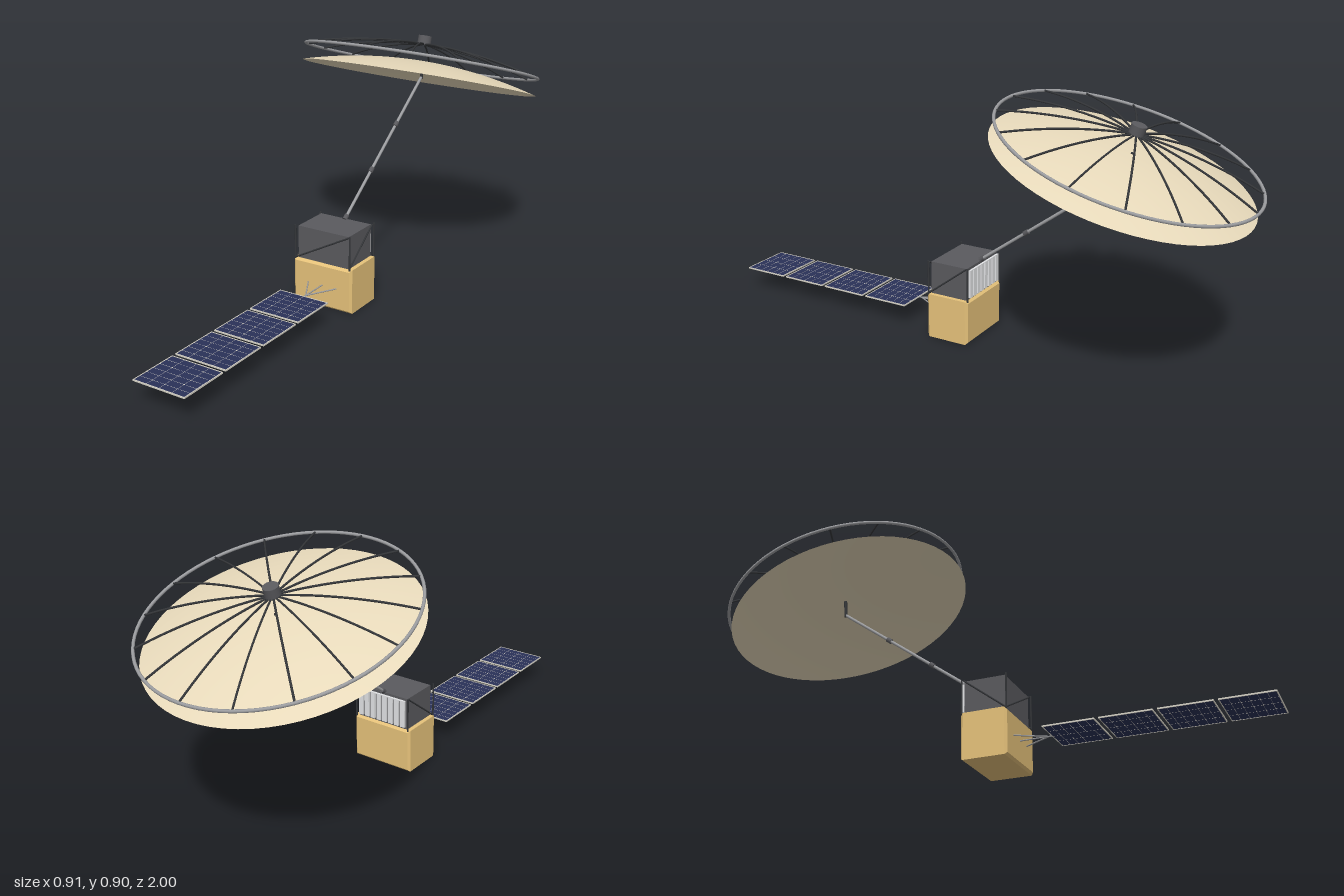
import * as THREE from 'three';

const mat = (name, color, extra = {}) => {
  const m = new THREE.MeshStandardMaterial({ color, ...extra });
  m.name = name;
  return m;
};
const V = (x, y, z) => new THREE.Vector3(x, y, z);

export function createModel() {
  const root = new THREE.Group();
  root.name = 'antennaSatellite';
  const gold = mat('goldFoil', 0xe6c27a);
  const panelDark = mat('darkPanel', 0x5a5a5e);
  const black = mat('blackStrut', 0x35373a);
  const grey = mat('greyMetal', 0x9c9da0);
  const pale = mat('paleRadiator', 0xe2e3e5);
  const navy = mat('solarBlue', 0x2a3158);
  const frameTan = mat('panelFrame', 0xd6d2c6);
  const mesh = mat('reflectorCream', 0xe8dabb, { side: THREE.DoubleSide });

  const add = (name, geo, material, parent = root) => {
    const m = new THREE.Mesh(geo, material);
    m.name = name;
    parent.add(m);
    return m;
  };
  const group = (name) => {
    const g = new THREE.Group();
    g.name = name;
    root.add(g);
    return g;
  };
  const box = (name, w, h, d, x, y, z, material, parent) => {
    const m = add(name, new THREE.BoxGeometry(w, h, d), material, parent);
    m.position.set(x, y, z);
    return m;
  };
  // Round bar between two points
  const bar = (name, a, b, r, material, parent, sides = 8) => {
    const m = add(name, new THREE.CylinderGeometry(r, r, a.distanceTo(b), sides), material, parent);
    m.position.copy(a).lerp(b, 0.5);
    m.quaternion.setFromUnitVectors(V(0, 1, 0), b.clone().sub(a).normalize());
    return m;
  };

  // Foil-wrapped lower bus with chamfered edges
  const c = 0.008, w = 0.121 - c, h = 0.0825 - c;
  const outline = new THREE.Shape([
    new THREE.Vector2(-w, -h), new THREE.Vector2(w, -h),
    new THREE.Vector2(w, h), new THREE.Vector2(-w, h)]);
  const busGeo = new THREE.ExtrudeGeometry(outline, {
    depth: 0.166 - 2 * c, bevelEnabled: true, bevelSize: c, bevelThickness: c, bevelSegments: 1 });
  add('lowerBus', busGeo, gold).position.set(0, 0.0825, -0.03 + c);

  // Upper equipment box with corner posts and diagonal braces
  box('upperBox', 0.21, 0.12, 0.147, 0, 0.225, 0.052, panelDark);
  const cage = group('braceFrame');
  for (const s of [-1, 1]) {
    for (const z of [-0.029, 0.133])
      bar('cornerPost', V(s * 0.113, 0.163, z), V(s * 0.113, 0.289, z), 0.003, black, cage);
    bar('sideBrace', V(s * 0.11, 0.167, 0.131), V(s * 0.11, 0.285, -0.022), 0.003, black, cage);
  }
  bar('frontBrace', V(-0.111, 0.167, 0.129), V(0.111, 0.285, 0.129), 0.003, black, cage);

  // Radiator slats on the back, under a top rail
  const radiator = group('radiator');
  for (let i = 0; i < 8; i++)
    box('radiatorSlat', 0.018, 0.1, 0.008, -0.091 + i * 0.026, 0.225, -0.029, pale, radiator);
  box('radiatorRail', 0.2, 0.003, 0.008, 0, 0.2765, -0.029, pale, radiator);

  // Solar wing: four framed panels with cell lines on both faces
  const wing = group('solarWing');
  const y = 0.084;
  for (let i = 0; i < 4; i++) {
    const z0 = 0.25 + i * 0.191, len = 0.177, zc = z0 + len / 2;
    box('solarPanel', 0.194, 0.003, len - 0.004, 0, y, zc, navy, wing);
    for (const s of [-1, 1]) {
      box('panelSideFrame', 0.003, 0.005, len, s * 0.0975, y, zc, frameTan, wing);
      box('panelEndFrame', 0.198, 0.005, 0.003, 0, y, zc + s * (len / 2 - 0.0015), frameTan, wing);
    }
    for (let k = 1; k < 6; k++) {
      const z = z0 + len * k / 6;
      box('cellLine', 0.193, 0.0036, 0.0009, 0, y, z, frameTan, wing);
      // Diamond gaps where the clipped cell corners meet
      for (let j = 1; j < 4; j++)
        box('cellCornerGap', 0.0035, 0.004, 0.0035, -0.097 + 0.194 * j / 4, y, z, frameTan, wing)
          .rotation.y = Math.PI / 4;
    }
    for (let k = 1; k < 4; k++)
      box('cellLine', 0.0009, 0.0036, len - 0.004, -0.097 + 0.194 * k / 4, y, zc, frameTan, wing);
  }
  // Yoke that carries the wing
  for (const s of [-1, 1])
    bar('yokeArm', V(s * 0.062, y, 0.13), V(0, y, 0.238), 0.0025, grey, wing);
  bar('yokeStem', V(0, y, 0.13), V(0, y, 0.252), 0.0025, grey, wing);

  // Jointed boom
  const boom = group('boom');
  const a = V(0, 0.29, -0.022), b = V(0, 0.697, -0.572);
  const dir = b.clone().sub(a).normalize();
  bar('boomTube', a, b, 0.0055, grey, boom, 12);
  for (const t of [0, 0.32, 0.645]) {
    const p = a.clone().lerp(b, t);
    bar('boomJoint', p.clone().addScaledVector(dir, -0.01), p.clone().addScaledVector(dir, 0.01),
      0.009, panelDark, boom, 12);
  }

  // Tilted reflector, built around its own axis
  const dish = group('reflectorAssembly');
  dish.position.set(0, 0.697, -0.546);
  dish.rotation.x = -0.305;
  const R = 0.451, depth = 0.065;
  const rise = (r) => depth * (1 - (r / R) ** 2);
  const profile = [];
  for (let i = 0; i <= 16; i++) profile.push(new THREE.Vector2(R * (1 - i / 16), rise(R * (1 - i / 16))));
  add('reflector', new THREE.LatheGeometry(profile, 64), mesh, dish);

  // Rim ring, ribs and hub above the reflector
  const ring = add('rimRing', new THREE.TorusGeometry(0.45, 0.0055, 8, 80), grey, dish);
  ring.rotation.x = Math.PI / 2;
  ring.position.y = depth;
  const ribPoints = [];
  for (let i = 0; i <= 6; i++) {
    const r = 0.015 + (R - 0.015) * i / 6;
    ribPoints.push(V(r, depth + rise(r), 0));
  }
  const ribGeo = new THREE.TubeGeometry(new THREE.CatmullRomCurve3(ribPoints), 20, 0.0036, 6);
  for (let i = 0; i < 16; i++) add('rib', ribGeo, black, dish).rotation.y = i * Math.PI / 8;
  bar('boomTip', V(0, 0, -0.025), V(0, 0.068, -0.01), 0.006, black, dish, 10);
  add('hub', new THREE.CylinderGeometry(0.026, 0.026, 0.034, 20), panelDark, dish).position.y = 0.146;

  return root;
}
